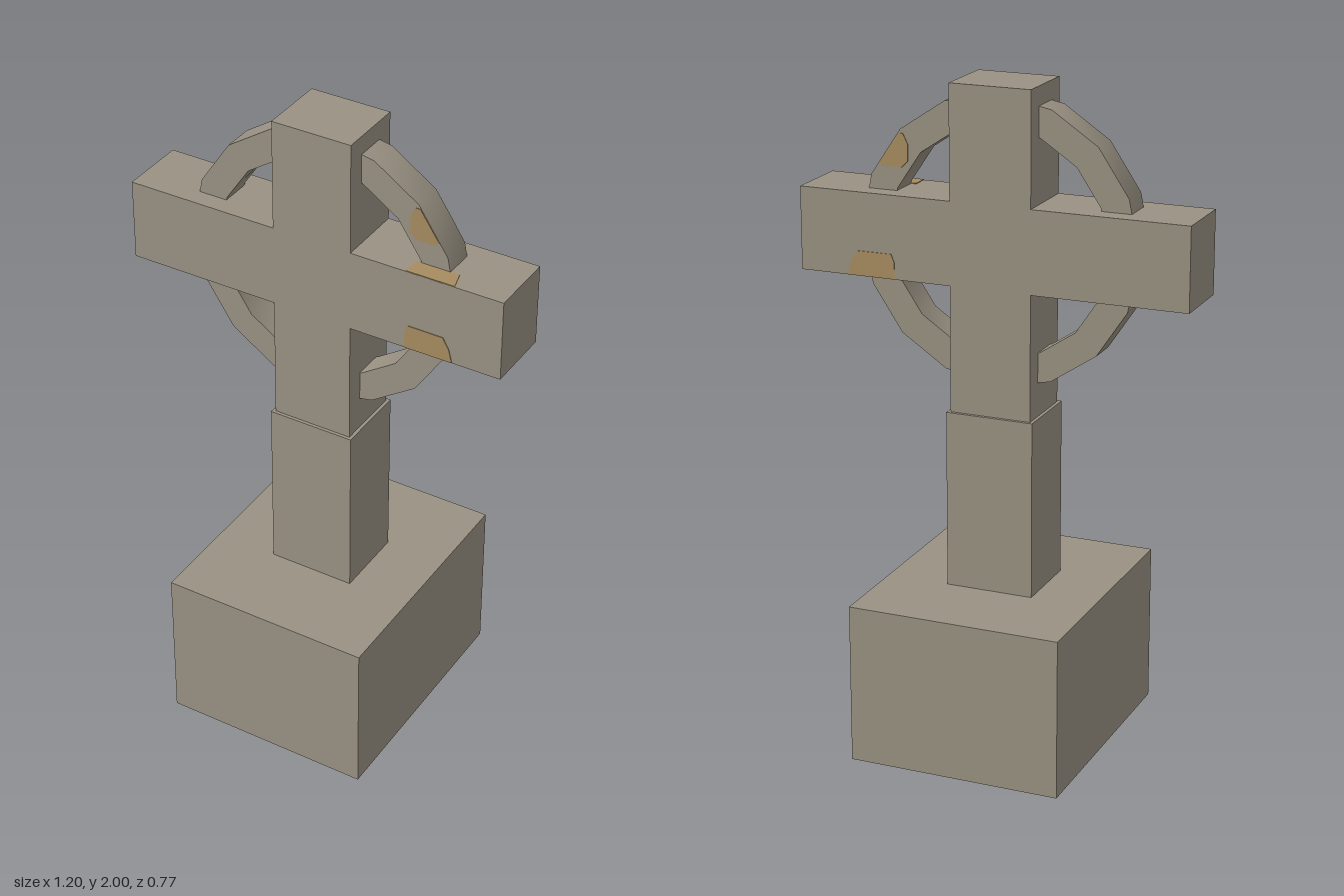
import * as THREE from 'three';
import { toCreasedNormals } from 'three/addons/utils/BufferGeometryUtils.js';

export function createModel() {
  const stone = new THREE.MeshStandardMaterial({ color: 0x9a9283 });
  stone.name = 'weathered stone';
  const ochre = new THREE.MeshStandardMaterial({ color: 0xa88c60 });
  ochre.name = 'ochre lichen';

  const model = new THREE.Group();
  model.name = 'ringedStoneCross';

  const add = (name, geometry, material) => {
    const mesh = new THREE.Mesh(geometry, material);
    mesh.name = name;
    model.add(mesh);
    return mesh;
  };
  const block = (name, w, h, d, bottom) => {
    add(name, new THREE.BoxGeometry(w, h, d), stone).position.y = bottom + h / 2;
  };

  // Stacked pedestal, shaft and cross
  block('pedestal', 0.655, 0.49, 0.775, 0);
  block('lowerShaft', 0.27, 0.54, 0.23, 0.49);
  block('crossUpright', 0.25, 0.97, 0.21, 1.03);
  // Each arm butts against the upright
  for (const side of [-1, 1]) {
    const arm = add(side > 0 ? 'leftArm' : 'rightArm', new THREE.BoxGeometry(0.475, 0.25, 0.21), stone);
    arm.position.set(side * 0.3625, 1.535, 0);
  }

  // Sixteen-sided ring, softly shaded around its rim
  const polygon = (r) => Array.from({ length: 16 }, (_, i) => {
    const a = (i / 16) * Math.PI * 2;
    return new THREE.Vector2(Math.cos(a) * r, Math.sin(a) * r);
  });
  const ringShape = new THREE.Shape(polygon(0.43));
  ringShape.holes.push(new THREE.Path(polygon(0.34)));
  const ringDepth = 0.095;
  const ringGeometry = new THREE.ExtrudeGeometry(ringShape, { depth: ringDepth, bevelEnabled: false });
  ringGeometry.translate(0, 0, -ringDepth / 2);
  add('ring', toCreasedNormals(ringGeometry, Math.PI / 6), stone).position.y = 1.538;

  // Thin lichen patches, set half into the surface
  const patch = (points) => {
    const shape = new THREE.Shape(points.map(([x, y]) => new THREE.Vector2(x, y)));
    return new THREE.ExtrudeGeometry(shape, { depth: 0.004, bevelEnabled: false }).translate(0, 0, -0.002);
  };
  const armPatch = [[0.3, 1.411], [0.45, 1.411], [0.44, 1.45], [0.42, 1.485], [0.31, 1.485], [0.3, 1.46]];
  const ringPatch = [[0.28, 1.75], [0.3, 1.73], [0.36, 1.73], [0.37, 1.742], [0.31, 1.83], [0.295, 1.83], [0.28, 1.8]];
  for (const [end, side] of [['front', 1], ['back', -1]]) {
    add(end + 'ArmLichen', patch(armPatch), ochre).position.z = side * 0.105;
    add(end + 'RingLichen', patch(ringPatch), ochre).position.z = side * ringDepth / 2;
  }
  const topPatch = patch([[0.3, -0.104], [0.45, -0.104], [0.435, -0.048], [0.3, -0.048]]);
  topPatch.rotateX(-Math.PI / 2);
  add('armTopLichen', topPatch, ochre).position.y = 1.66;

  return model;
}
